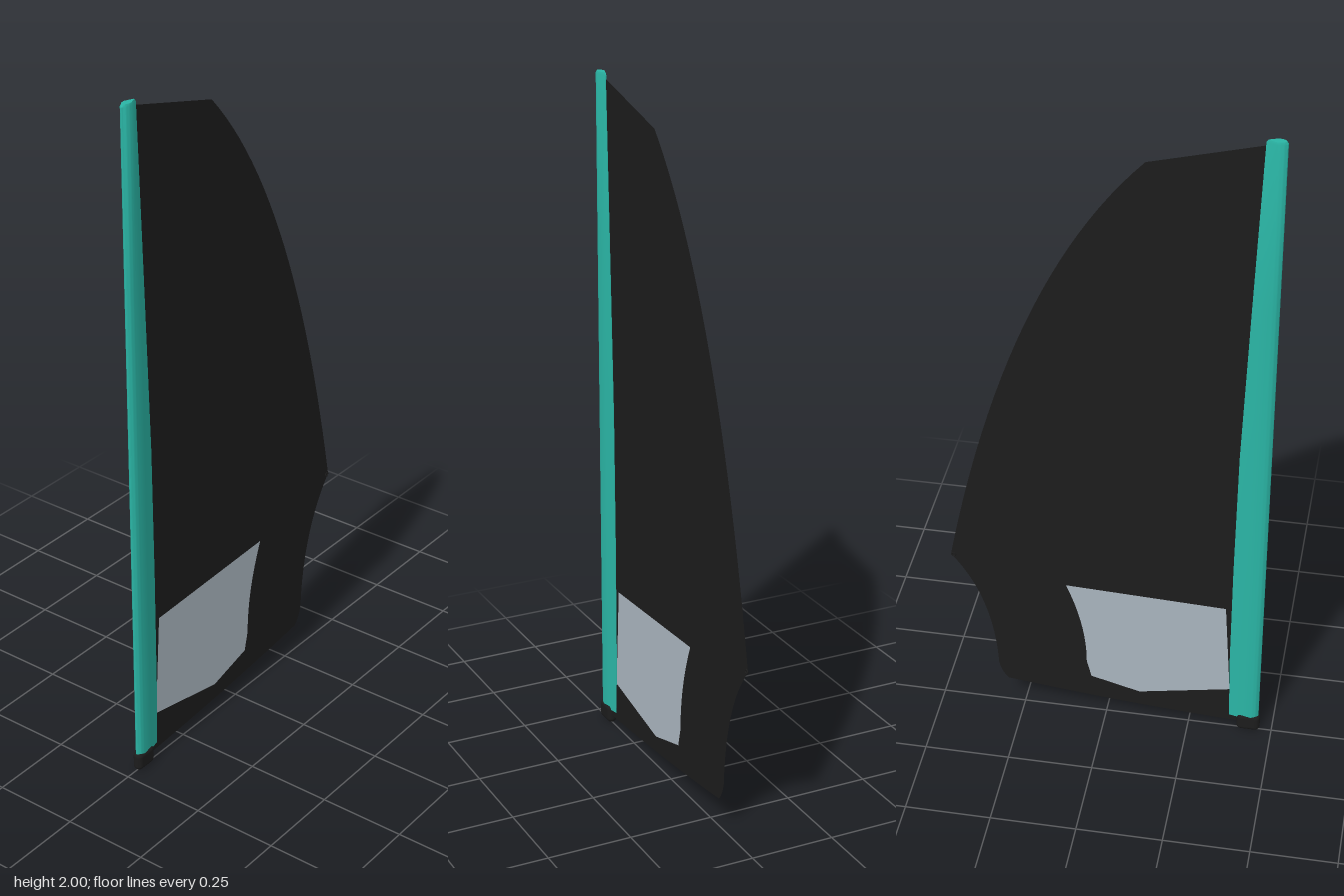
import * as THREE from 'three';
import { toCreasedNormals } from 'three/addons/utils/BufferGeometryUtils.js';
import { RoundedBoxGeometry } from 'three/addons/geometries/RoundedBoxGeometry.js';

// Teardrop section: rounded nose, flat sides narrowing to the trailing edge
function mastRing(y, tail, inset = 0) {
  const side = [[tail, 0.0015], [-0.408, Math.min(0.0095, 0.0015 + (tail + 0.408) * 0.25)]];
  for (let i = 0; i <= 8; i++) {
    const a = Math.PI / 2 + (i / 8) * (Math.PI / 2);
    side.push([-0.434 + 0.026 * Math.cos(a), 0.0125 * Math.sin(a)]);
  }
  const mirrored = side.slice(0, -1).reverse().map(([x, z]) => [x, -z]);
  return side.concat(mirrored).map(([x, z]) =>
    new THREE.Vector3(x + (-0.43 - x) * inset, y, z * (1 - inset)));
}

// Skin between cross-sections, with a fan cap at each end
function loft(rings) {
  const n = rings[0].length, index = [];
  const points = rings.flat();
  for (let j = 0; j < rings.length - 1; j++) {
    for (let i = 0; i < n; i++) {
      const a = j * n + i, b = j * n + (i + 1) % n;
      index.push(a, a + n, b, b, a + n, b + n);
    }
  }
  const last = (rings.length - 1) * n;
  const low = points.length, high = low + 1;
  points.push(new THREE.Vector3(-0.43, rings[0][0].y, 0));
  points.push(new THREE.Vector3(-0.43, rings.at(-1)[0].y, 0));
  for (let i = 0; i < n; i++) {
    const k = (i + 1) % n;
    index.push(low, i, k, high, last + k, last + i);
  }
  const g = new THREE.BufferGeometry().setFromPoints(points);
  g.setIndex(index);
  return toCreasedNormals(g, 0.5);
}

// Outline of the clear panel, also cut out of the cloth
function traceWindow(path) {
  path.moveTo(-0.35, 0.455);
  path.lineTo(0.12, 0.475);
  path.quadraticCurveTo(0.06, 0.33, 0.06, 0.19);
  path.lineTo(0.046, 0.132);
  path.lineTo(-0.10, 0.092);
  path.lineTo(-0.37, 0.145);
  path.closePath();
  return path;
}

export function createModel() {
  const model = new THREE.Group();
  const mat = (name, color, side = THREE.FrontSide) => {
    const m = new THREE.MeshStandardMaterial({ color, side });
    m.name = name;
    return m;
  };
  const cloth = mat('black cloth', 0x1c1c1c, THREE.DoubleSide);
  const teal = mat('teal', 0x2ab5a5);
  const clear = mat('pale window', 0xaab5bf, THREE.DoubleSide);
  const add = (name, geometry, material) => {
    const mesh = new THREE.Mesh(geometry, material);
    mesh.name = name;
    model.add(mesh);
    return mesh;
  };

  // Sail cloth with bowed trailing edge and concave lower leech
  const sail = new THREE.Shape();
  sail.moveTo(-0.42, 1.987);
  sail.lineTo(-0.10, 1.905);
  sail.quadraticCurveTo(0.27, 1.52, 0.46, 0.545);
  sail.quadraticCurveTo(0.338, 0.40, 0.328, 0.145);
  sail.quadraticCurveTo(0.322, 0.11, 0.30, 0.085);
  sail.quadraticCurveTo(-0.05, 0.04, -0.42, 0.022);
  sail.closePath();
  sail.holes.push(traceWindow(new THREE.Path()));
  add('sail', new THREE.ShapeGeometry(sail, 24), cloth);
  add('window', new THREE.ShapeGeometry(traceWindow(new THREE.Shape()), 12), clear);

  // Mast sleeve, widening downward
  add('mast', loft([
    mastRing(0.045, -0.372), mastRing(0.25, -0.367), mastRing(0.6, -0.367),
    mastRing(1.0, -0.371), mastRing(1.5, -0.387), mastRing(1.993, -0.404),
    mastRing(2.0, -0.405, 0.15),
  ]), teal);

  // Rounded foot under the mast
  add('mastFoot', new RoundedBoxGeometry(0.07, 0.058, 0.03, 4, 0.0145), cloth)
    .position.set(-0.43, 0.029, 0);

  // Small eyelet at the outer corner
  add('cornerEyelet', new THREE.TorusGeometry(0.006, 0.002, 8, 16), cloth)
    .position.set(0.452, 0.545, 0);

  return model;
}
